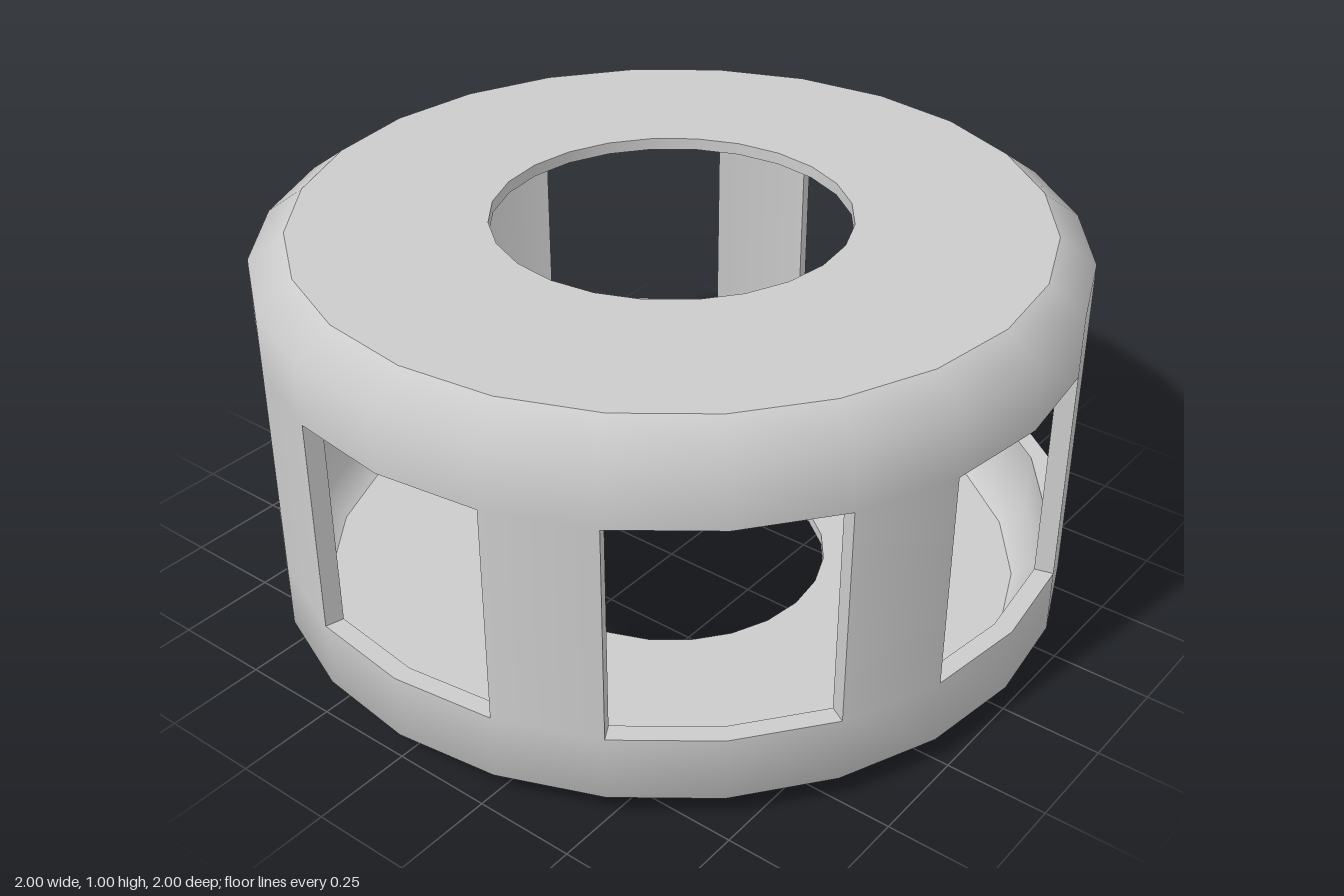
import * as THREE from 'three';

const SIDES = 24;
const STEP = (Math.PI * 2) / SIDES;
const R_OUT = 1, R_IN = 0.953, R_EDGE = 0.91, R_EDGE_IN = 0.885;
const WINDOW_LOW = 0.23, WINDOW_HIGH = 0.78;
const HEIGHT = 1, BEVEL = 0.065, PLATE = 0.03;

export function createModel() {
  const model = new THREE.Group();
  const material = new THREE.MeshStandardMaterial({ color: 0xcccccc, side: THREE.DoubleSide });

  // One smooth strip turned about the y axis, from facet `start` over `count` facets
  function strip(parent, name, points, start = 0, count = SIDES) {
    const profile = points.map(([r, y]) => new THREE.Vector2(r, y));
    const geometry = new THREE.LatheGeometry(profile, count, start * STEP, count * STEP);
    const mesh = new THREE.Mesh(geometry, material);
    mesh.name = name;
    parent.add(mesh);
  }

  // Bevelled end cap with a round hole; the upper one is the lower one turned over
  function cap(name, holeRadius, rimHeight, upper) {
    const group = new THREE.Group();
    group.name = name;
    const place = (points) => (upper ? points.map(([r, y]) => [r, HEIGHT - y]).reverse() : points);
    const add = (part, points, start, count) => strip(group, part, place(points), start, count);
    add('outerWall', [[R_EDGE, 0], [R_OUT, BEVEL], [R_OUT, rimHeight]]);
    add('innerWall', [[R_IN, rimHeight], [R_IN, 0.08], [R_EDGE_IN, PLATE]]);
    add('innerFace', [[R_EDGE_IN, PLATE], [holeRadius, PLATE]]);
    add('holeEdge', [[holeRadius, PLATE], [holeRadius, 0]]);
    add('outerFace', [[holeRadius, 0], [R_EDGE, 0]]);
    // Sills: two facets per window, the first window centred on the front
    for (let i = 0; i < 8; i++) {
      add('windowSill', [[R_OUT, rimHeight], [R_IN, rimHeight]], i * 3 - 1, 2);
    }
    model.add(group);
  }

  cap('bottomCap', 0.4, WINDOW_LOW, false);
  cap('topCap', 0.435, HEIGHT - WINDOW_HIGH, true);

  // Posts, one facet wide, between the eight windows
  for (let i = 0; i < 8; i++) {
    const post = new THREE.Group();
    post.name = 'post';
    const start = i * 3 + 1;
    strip(post, 'postOuter', [[R_OUT, WINDOW_LOW], [R_OUT, WINDOW_HIGH]], start, 1);
    strip(post, 'postInner', [[R_IN, WINDOW_HIGH], [R_IN, WINDOW_LOW]], start, 1);
    for (const side of [0, 1]) {
      const angle = (start + side) * STEP;
      const geometry = new THREE.PlaneGeometry(R_OUT - R_IN, WINDOW_HIGH - WINDOW_LOW);
      geometry.translate((R_OUT + R_IN) / 2, (WINDOW_LOW + WINDOW_HIGH) / 2, 0);
      // Turn each jamb to face its window
      geometry.rotateY(angle - Math.PI / 2);
      const jamb = new THREE.Mesh(geometry, material);
      jamb.name = 'windowJamb';
      post.add(jamb);
    }
    model.add(post);
  }
  return model;
}
